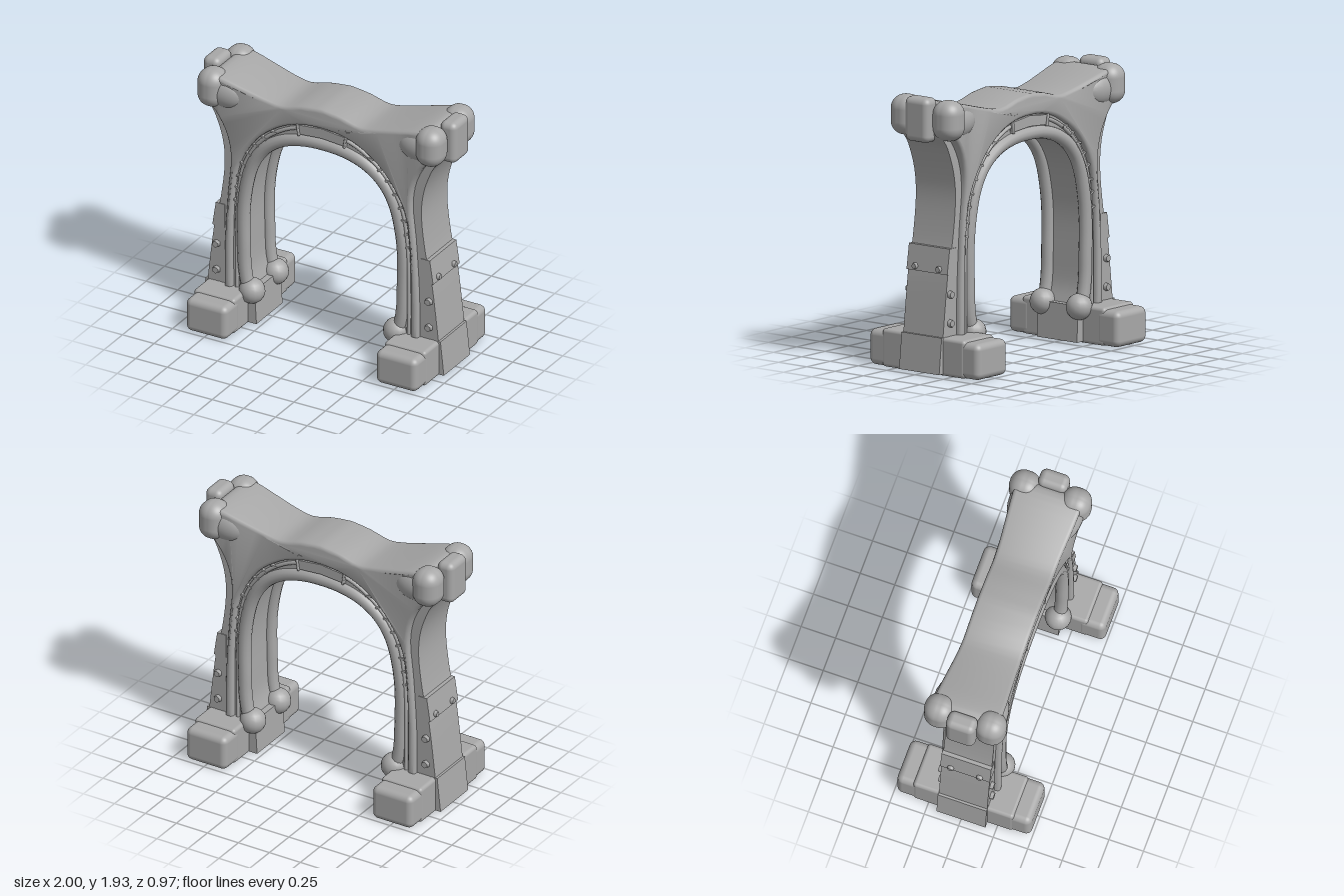
import * as THREE from 'three';
import { toCreasedNormals } from 'three/addons/utils/BufferGeometryUtils.js';
import { RoundedBoxGeometry } from 'three/addons/geometries/RoundedBoxGeometry.js';

const stone = new THREE.MeshStandardMaterial({ color: 0xa8a8a8 });
stone.name = 'grey stone';
const SIDES = [1, -1];
const V2 = (p) => new THREE.Vector2(p[0], p[1]);

function add(parent, name, geometry, x = 0, y = 0, z = 0) {
  const mesh = new THREE.Mesh(geometry, stone);
  mesh.name = name;
  mesh.position.set(x, y, z);
  parent.add(mesh);
  return mesh;
}

// smooth right half of a symmetric line, ending on x = 0, completed by mirroring
function mirroredLine(half, n) {
  const right = new THREE.SplineCurve(half.map(V2)).getPoints(n);
  const left = right.slice(0, -1).reverse().map((p) => new THREE.Vector2(-p.x, p.y));
  return [...right, ...left];
}

// arch-shaped slab between an outer and an inner line
function archSlab(outer, inner, halfDepth, bevel) {
  const shape = new THREE.Shape([...mirroredLine(outer, 40), ...mirroredLine(inner, 32).reverse()]);
  const g = new THREE.ExtrudeGeometry(shape, {
    depth: 2 * (halfDepth - bevel), steps: 1, bevelEnabled: bevel > 0,
    bevelSize: bevel, bevelThickness: bevel, bevelOffset: -bevel, bevelSegments: 3,
  });
  return g.translate(0, 0, bevel - halfDepth);
}

// straight prism along z from a polygon, mirrored in x when s = -1
function prism(points, s, halfDepth) {
  const shape = new THREE.Shape(points.map(([x, y]) => new THREE.Vector2(s * x, y)));
  return new THREE.ExtrudeGeometry(shape, { depth: 2 * halfDepth, bevelEnabled: false })
    .translate(0, 0, -halfDepth);
}

function tubeAlong(half, radius, z) {
  const pts = mirroredLine(half, 12).map((p) => new THREE.Vector3(p.x, p.y, z));
  return new THREE.TubeGeometry(new THREE.CatmullRomCurve3(pts), 80, radius, 12);
}

// half lines, from the foot up to the crown
const ROLL = [[0.585, 0.27], [0.62, 0.4], [0.63, 0.62], [0.632, 0.87], [0.607, 1.08],
  [0.55, 1.27], [0.44, 1.42], [0.24, 1.53], [0, 1.556]];
const GROOVE = [[0.705, 0.26], [0.705, 0.7], [0.69, 1.0], [0.645, 1.25], [0.51, 1.47],
  [0.33, 1.61], [0.16, 1.675], [0, 1.69]];
const CORE = [[0.915, 0.24], [0.86, 0.7], [0.81, 0.92], [0.777, 1.2], [0.795, 1.4],
  [0.86, 1.58], [0.92, 1.67], [0.88, 1.72], [0.6, 1.72], [0.3, 1.71], [0, 1.72]];
const SHELL = [[0.765, 0.26], [0.762, 0.6], [0.738, 1.0], [0.712, 1.27], [0.735, 1.45],
  [0.8, 1.59], [0.88, 1.69], [0.91, 1.8], [0.87, 1.885], [0.78, 1.888], [0.6, 1.842],
  [0.42, 1.798], [0.3, 1.785], [0.15, 1.822], [0, 1.84]];

export function createModel() {
  const model = new THREE.Group();
  model.name = 'archway';

  // inner body of the arch
  add(model, 'archCore', toCreasedNormals(archSlab(CORE, ROLL, 0.175, 0), 0.6));

  // outer shell, swelling in depth toward the upper corners
  const shell = archSlab(SHELL, GROOVE, 0.213, 0.025);
  const pos = shell.attributes.position;
  for (let i = 0; i < pos.count; i++) {
    const swell = THREE.MathUtils.smoothstep(Math.abs(pos.getX(i)), 0.3, 0.85)
      * THREE.MathUtils.smoothstep(pos.getY(i), 1.1, 1.7);
    pos.setZ(i, pos.getZ(i) * (1 + 0.14 * swell));
  }
  add(model, 'archShell', toCreasedNormals(shell, 0.7));

  const ridge = GROOVE.map(([x, y]) => [x * 0.962, y > 1 ? y - 0.03 * (y - 1) / 0.69 : y]);
  for (const sz of SIDES) {
    // rolled inner edge and the finer ridge in the groove beside it
    add(model, 'archRoll', tubeAlong(ROLL, 0.047, sz * 0.165));
    add(model, 'grooveRidge', tubeAlong(ridge, 0.014, sz * 0.178));

    // crown panel with end frames
    const panel = new THREE.Shape([[-0.19, 1.595], [0, 1.61], [0.19, 1.595],
      [0.18, 1.665], [0, 1.685], [-0.18, 1.665]].map(V2));
    add(model, 'crownPanel', new THREE.ExtrudeGeometry(panel, { depth: 0.02, bevelEnabled: false }),
      0, 0, sz * 0.185 - 0.01);
    for (const sx of SIDES) {
      const frame = add(model, 'panelFrame', new RoundedBoxGeometry(0.018, 0.09, 0.035, 2, 0.007),
        sx * 0.185, 1.63, sz * 0.19);
      frame.rotation.z = -sx * 0.15;
    }

    // chipped cuts along the groove
    const curve = new THREE.SplineCurve(GROOVE.map(V2));
    for (const sx of SIDES) {
      for (let i = 0; i < 8; i++) {
        const p = curve.getPointAt(0.38 + i * 0.055);
        const chip = add(model, 'grooveChip', new THREE.BoxGeometry(0.05, 0.014, 0.02),
          sx * (p.x - 0.02), p.y - 0.01, sz * 0.185);
        chip.rotation.z = sx * (0.3 + 0.35 * Math.sin(i * 2.3));
      }
    }
  }

  for (const sx of SIDES) {
    // plinth under each leg
    add(model, 'plinth', prism([[0.525, 0.022], [0.955, 0.022], [0.928, 0.275], [0.54, 0.275]], sx, 0.177));

    // strap around the outside of the leg
    add(model, 'legStrap', prism([[0.775, 0.705], [0.872, 0.705], [0.845, 0.882], [0.775, 0.882]], sx, 0.18));

    // cap between the corner knobs
    add(model, 'cornerCap', new RoundedBoxGeometry(0.13, 0.31, 0.21, 4, 0.045), sx * 0.935, 1.78, 0);

    for (const sz of SIDES) {
      // foot block and rounded toe
      add(model, 'footBlock', new RoundedBoxGeometry(0.325, 0.265, 0.28, 3, 0.025), sx * 0.753, 0.142, sz * 0.225);
      add(model, 'toe', new RoundedBoxGeometry(0.325, 0.25, 0.2, 4, 0.045), sx * 0.75, 0.135, sz * 0.387);

      // ball at the end of the rolled edge
      add(model, 'rollEndBall', new THREE.SphereGeometry(0.092, 16, 12), sx * 0.57, 0.265, sz * 0.16);

      // corner knob and the swelling that leads into it
      add(model, 'cornerKnob', new RoundedBoxGeometry(0.205, 0.28, 0.215, 6, 0.095), sx * 0.862, 1.78, sz * 0.185);
      add(model, 'knobNeck', new THREE.SphereGeometry(1, 20, 14), sx * 0.77, 1.755, sz * 0.18)
        .scale.set(0.17, 0.115, 0.085);

      // hexagonal bolts on the leg faces and strap
      for (const y of [0.365, 0.565]) {
        add(model, 'legBolt', new THREE.CylinderGeometry(0.024, 0.03, 0.03, 6), sx * 0.838, y, sz * 0.185)
          .rotation.x = sz * Math.PI / 2;
      }
      add(model, 'strapBolt', new THREE.CylinderGeometry(0.02, 0.027, 0.035, 6), sx * 0.87, 0.735, sz * 0.105)
        .rotation.z = -sx * Math.PI / 2;
    }
  }
  return model;
}
